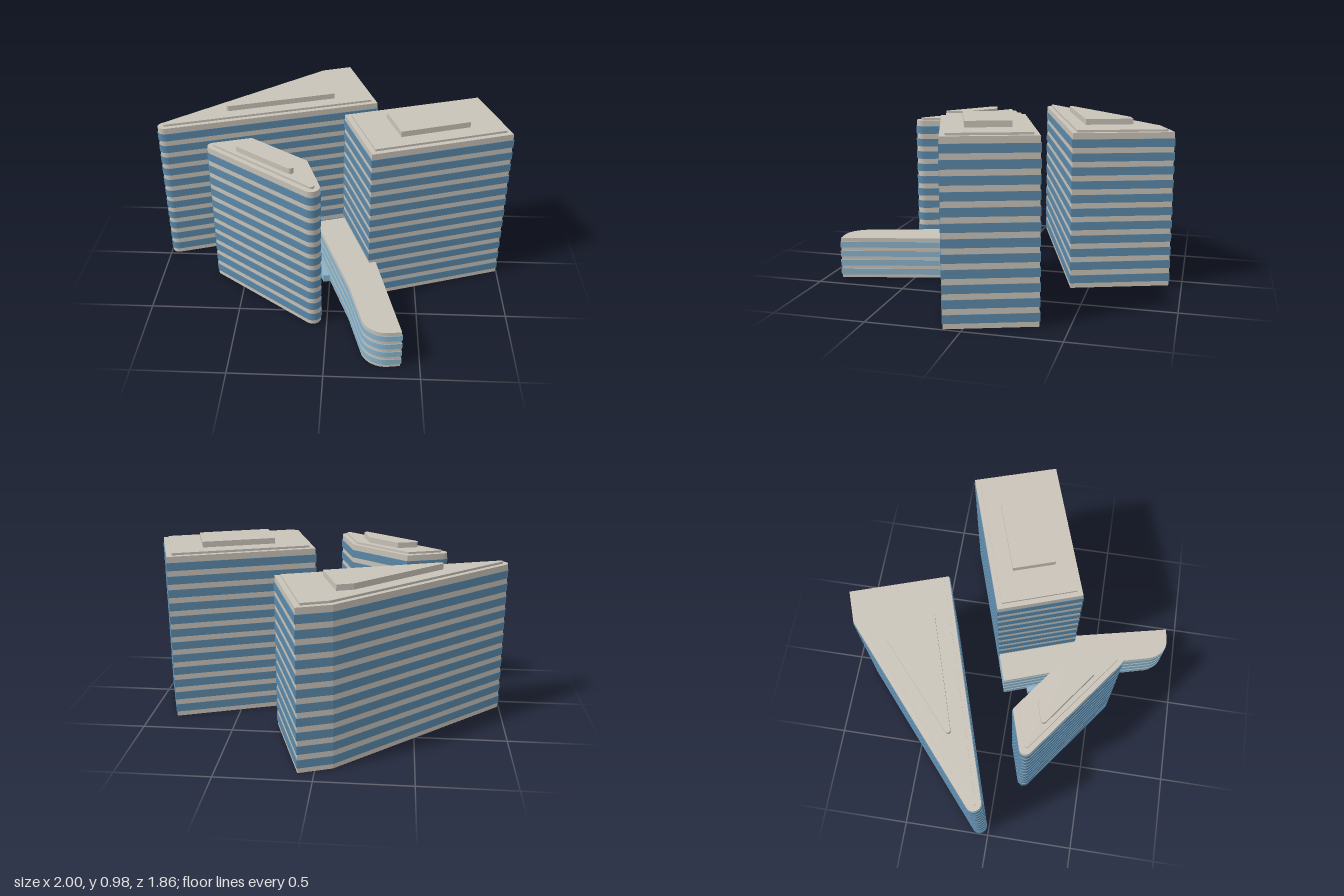
import * as THREE from 'three';
import { toCreasedNormals } from 'three/addons/utils/BufferGeometryUtils.js';

const material = (name, color) => {
  const m = new THREE.MeshStandardMaterial({ color });
  m.name = name;
  return m;
};

// Plans are corner lists [x, z, fillet radius].
// Moves every edge of a plan outwards (or inwards if d is negative).
function offsetPlan(plan, d) {
  const n = plan.length;
  let area = 0;
  plan.forEach(([x, z], i) => {
    const [x2, z2] = plan[(i + 1) % n];
    area += x * z2 - x2 * z;
  });
  const s = Math.sign(area);
  const normal = (a, b) =>
    new THREE.Vector2((b[1] - a[1]) * s, (a[0] - b[0]) * s).normalize();
  return plan.map((p, i) => {
    const n1 = normal(plan[(i + n - 1) % n], p);
    const n2 = normal(p, plan[(i + 1) % n]);
    const k = d / (1 + n1.dot(n2));
    const r = p[2] ? Math.max(p[2] + d, 0.012) : 0;
    return [p[0] + (n1.x + n2.x) * k, p[1] + (n1.y + n2.y) * k, r];
  });
}

// Turns a plan into a shape, replacing filleted corners by arcs.
function planShape(plan) {
  const n = plan.length;
  const points = [];
  plan.forEach(([x, z, r], i) => {
    const p = new THREE.Vector2(x, -z);
    if (!r) {
      points.push(p);
      return;
    }
    const toward = (q) => new THREE.Vector2(q[0], -q[1]).sub(p).normalize();
    const u = toward(plan[(i + n - 1) % n]);
    const v = toward(plan[(i + 1) % n]);
    const half = Math.acos(u.dot(v)) / 2;
    const c = u.clone().add(v).normalize().multiplyScalar(r / Math.sin(half)).add(p);
    const t = r / Math.tan(half);
    const a0 = p.clone().addScaledVector(u, t).sub(c).angle();
    let sweep = p.clone().addScaledVector(v, t).sub(c).angle() - a0;
    if (sweep > Math.PI) sweep -= 2 * Math.PI;
    if (sweep < -Math.PI) sweep += 2 * Math.PI;
    for (let k = 0; k <= 12; k++) {
      const a = a0 + (sweep * k) / 12;
      points.push(new THREE.Vector2(c.x + r * Math.cos(a), c.y + r * Math.sin(a)));
    }
  });
  return new THREE.Shape(points);
}

// Upright prism over a plan, from height y0 to y1.
function prism(name, plan, y0, y1, mat) {
  const g = new THREE.ExtrudeGeometry(planShape(plan), { depth: y1 - y0, bevelEnabled: false });
  g.rotateX(-Math.PI / 2).translate(0, y0, 0);
  const mesh = new THREE.Mesh(toCreasedNormals(g, 0.3), mat);
  mesh.name = name;
  return mesh;
}

// Solid block ringed by slightly projecting window bands.
function building(name, { plan, height, floors, slab, stone, glass }) {
  const group = new THREE.Group();
  group.name = name;
  group.add(prism('walls', plan, 0, height, stone));
  const pitch = (height - slab) / floors;
  const ring = offsetPlan(plan, 0.004);
  for (let i = 0; i < floors; i++) {
    const y = slab * 0.9 + i * pitch;
    group.add(prism('windowBand', ring, y, y + pitch - slab, glass));
  }
  return group;
}

export function createModel() {
  const stone = material('warm stone', 0xc9c3b8);
  const glass = material('blue glass', 0x5b88a8);
  const paleGlass = material('pale blue glass', 0x8ab2c9);
  const model = new THREE.Group();
  model.name = 'officeComplex';

  // Three towers, each with a roof slab and a plant room
  const towers = [
    {
      name: 'wedgeTower', height: 0.868, floors: 11,
      plan: [[-0.09, -0.867, 0], [0.083, -0.928, 0], [0.26, -0.402, 0], [-1.127, 0.042, 0.04]],
      plant: [[-0.175, -0.66, 0], [-0.09, -0.688, 0], [0, -0.43, 0], [-0.674, -0.211, 0.014]],
    },
    {
      name: 'blockTower', height: 0.94, floors: 12,
      plan: [[0.073, -0.097, 0], [0.848, -0.354, 0], [0.994, 0.094, 0], [0.227, 0.349, 0]],
      plant: [[0.307, -0.05, 0], [0.692, -0.178, 0], [0.763, 0.045, 0], [0.382, 0.174, 0]],
    },
    {
      name: 'slimTower', height: 0.868, floors: 11,
      plan: [[-0.44, 0.066, 0], [-0.115, 0.302, 0], [0.0085, 0.683, 0.045], [-0.711, 0.151, 0.034]],
      plant: [[-0.385, 0.19, 0], [-0.215, 0.31, 0], [-0.16, 0.49, 0.018], [-0.52, 0.227, 0.015]],
    },
  ];
  for (const t of towers) {
    const tower = building(t.name, { ...t, slab: 0.031, stone, glass });
    tower.add(prism('roofSlab', offsetPlan(t.plan, -0.028), t.height, t.height + 0.012, stone));
    tower.add(prism('plantRoom', t.plant, t.height + 0.012, t.height + 0.044, stone));
    model.add(tower);
  }

  // Low wing beside the block tower
  model.add(building('lowWing', {
    plan: [
      [-0.094, -0.043, 0], [0.073, -0.097, 0], [0.227, 0.349, 0], [0.265, 0.337, 0],
      [0.398, 0.91, 0], [0.222, 0.935, 0.13], [0.12, 0.56, 0],
    ],
    height: 0.235, floors: 4, slab: 0.02, stone, glass: paleGlass,
  }));

  // Glass entrance lobby
  model.add(prism('entranceLobby',
    [[-0.083, 0.105, 0], [-0.035, 0.088, 0], [0.02, 0.228, 0], [-0.037, 0.24, 0]],
    0, 0.045, paleGlass));

  return model;
}
